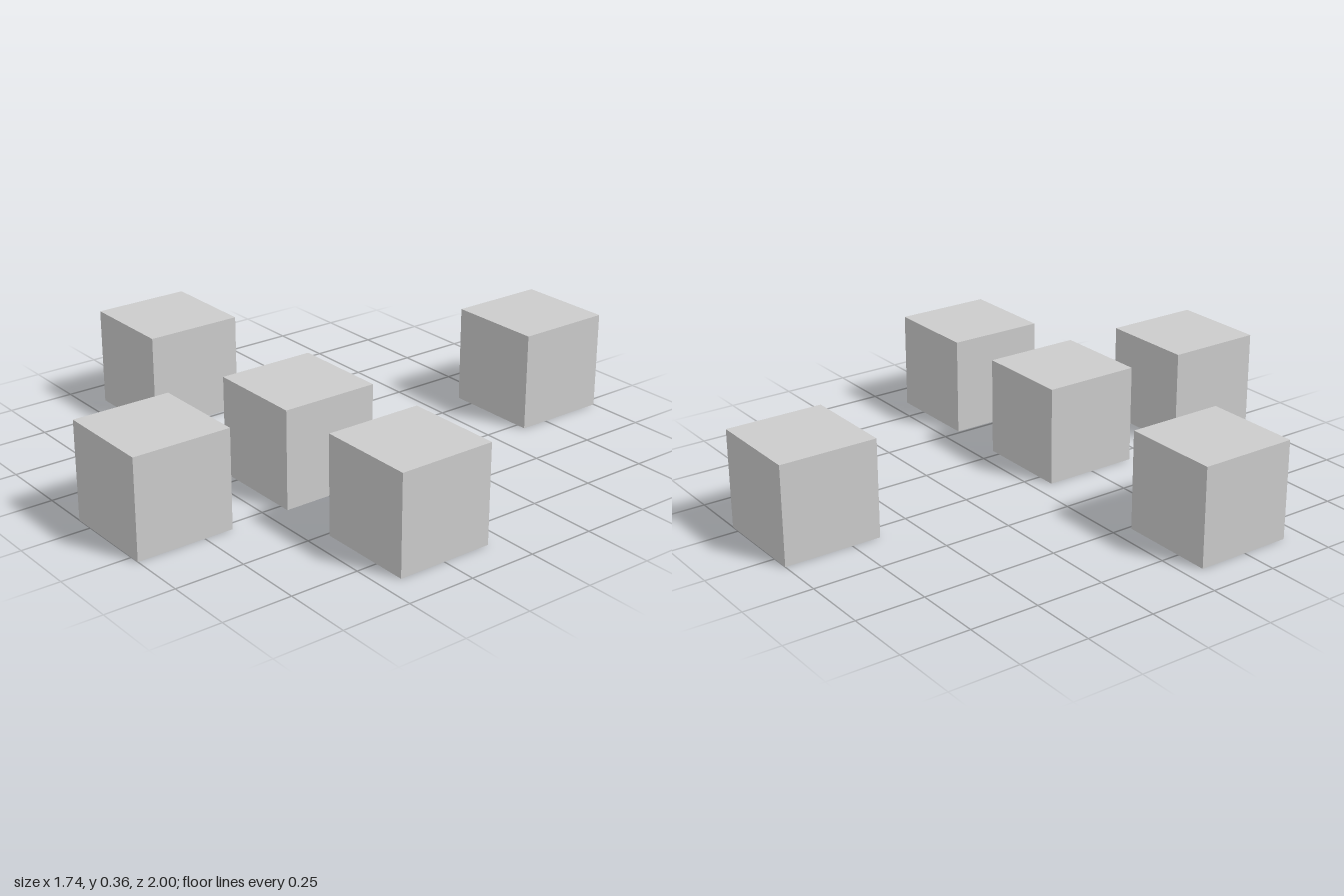
import * as THREE from 'three';

export function createModel() {
  const model = new THREE.Group();
  model.name = 'cubeCluster';

  const size = 0.357;
  const geometry = new THREE.BoxGeometry(size, size, size);
  const material = new THREE.MeshStandardMaterial({ color: 0xcccccc, flatShading: true });

  // Five equal cubes on the ground, in an uneven cross: name, x, z
  const cubes = [
    ['centerCube', 0.109, 0.246],
    ['leftCube', 0.691, 0.246],
    ['rightCube', -0.691, 0.246],
    ['frontCube', 0.109, 0.8215],
    ['backCube', 0.109, -0.8215],
  ];
  for (const [name, x, z] of cubes) {
    const cube = new THREE.Mesh(geometry, material);
    cube.name = name;
    cube.position.set(x, size / 2, z);
    model.add(cube);
  }
  return model;
}
